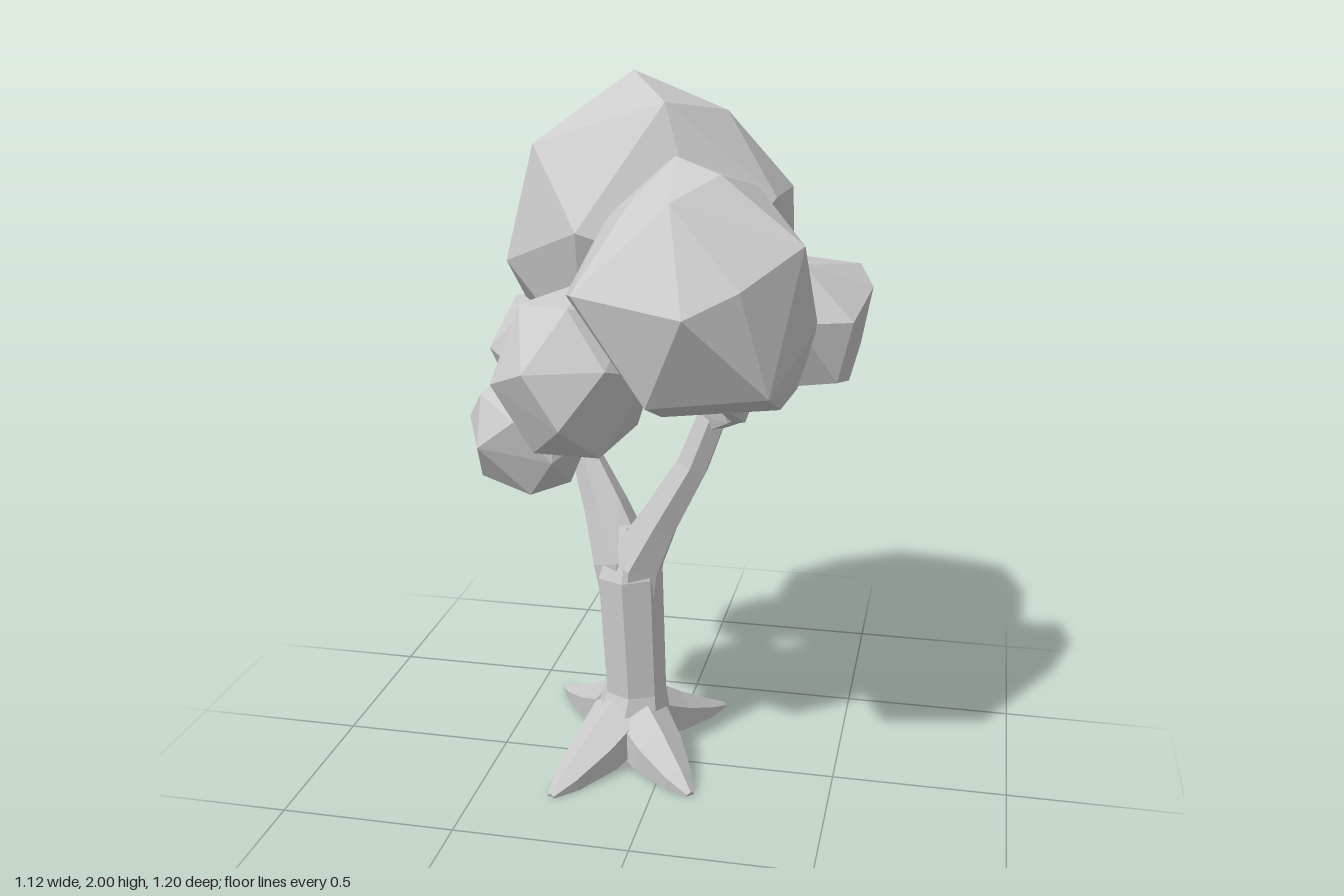
import * as THREE from 'three';
import { ConvexGeometry } from 'three/addons/geometries/ConvexGeometry.js';

const mat = new THREE.MeshStandardMaterial({ color: 0xcccccc, flatShading: true });
const V = (a) => new THREE.Vector3(a[0], a[1], a[2]);

// Faceted limb through sections [x, y, z, radius]; ref fixes the ring orientation
function limb(name, sections, sides, ref) {
  const rings = sections.map((s, i) => {
    const t = V(sections[Math.min(i + 1, sections.length - 1)]).sub(V(sections[Math.max(i - 1, 0)])).normalize();
    const u = V(ref).addScaledVector(t, -V(ref).dot(t)).normalize();
    const w = t.clone().cross(u);
    return Array.from({ length: sides }, (_, j) => {
      const a = (j / sides) * Math.PI * 2;
      const p = V(s).addScaledVector(u, Math.cos(a) * s[3]).addScaledVector(w, Math.sin(a) * s[3]);
      p.y = Math.max(p.y, 0);
      return p;
    });
  });
  const pts = [];
  const last = rings.length - 1;
  for (let j = 0; j < sides; j++) {
    const k = (j + 1) % sides;
    for (let i = 0; i < last; i++) {
      const a = rings[i][j], b = rings[i][k], c = rings[i + 1][k], d = rings[i + 1][j];
      pts.push(a, b, c, a, c, d);
    }
    if (j > 0 && j < sides - 1) {
      pts.push(rings[0][0], rings[0][k], rings[0][j]);
      pts.push(rings[last][0], rings[last][j], rings[last][k]);
    }
  }
  const geo = new THREE.BufferGeometry().setFromPoints(pts);
  geo.computeVertexNormals();
  const mesh = new THREE.Mesh(geo, mat);
  mesh.name = name;
  return mesh;
}

// Leaf clump: convex hull of a few corner points
function clump(name, points) {
  const mesh = new THREE.Mesh(new ConvexGeometry(points), mat);
  mesh.name = name;
  return mesh;
}

// Evenly spread points on a ball, turned and fitted to centre and half sizes
function ballPoints(count, centre, half, turn) {
  const pts = [];
  for (let i = 0; i < count; i++) {
    const y = 1 - (2 * i + 1) / count, r = Math.sqrt(1 - y * y), a = i * 2.39996;
    pts.push(new THREE.Vector3(r * Math.cos(a), y, r * Math.sin(a)).applyEuler(new THREE.Euler(turn, turn * 1.7, 0.4)));
  }
  const box = new THREE.Box3().setFromPoints(pts);
  const mid = box.getCenter(new THREE.Vector3()), size = box.getSize(new THREE.Vector3());
  return pts.map((p) => p.sub(mid).divide(size).multiplyScalar(2).multiply(V(half)).add(V(centre)));
}

export function createModel() {
  const tree = new THREE.Group();
  tree.name = 'tree';

  // Trunk, flared at the foot and closing inside the fork
  tree.add(limb('trunk', [
    [-0.12, 0, -0.05, 0.12], [-0.12, 0.1, -0.05, 0.125], [-0.105, 0.21, -0.05, 0.092],
    [-0.12, 0.58, -0.045, 0.098], [-0.12, 0.73, -0.05, 0.04],
  ], 7, [0, 0, 1]));

  // Spreading roots: tip x, tip z, thickness
  const roots = [[-0.28, 0.28, 0.06], [0.11, 0.19, 0.065], [0.11, -0.37, 0.05], [-0.41, -0.38, 0.05]];
  for (const [x, z, r] of roots) {
    const at = (f, y, rad) => [-0.12 + (x + 0.12) * f, y, -0.05 + (z + 0.05) * f, rad];
    tree.add(limb('root', [at(0.1, 0.11, 0.1), at(0.45, 0.055, r + 0.02), at(0.8, 0.015, r * 0.75), at(1, 0, 0.014)], 6, [0, 1, 0]));
  }

  // Branches, growing out of the trunk
  tree.add(limb('rightBranch', [
    [-0.12, 0.45, -0.05, 0.075], [-0.14, 0.62, -0.06, 0.092], [-0.2, 0.77, -0.09, 0.066],
    [-0.27, 0.92, -0.125, 0.042], [-0.34, 1.15, -0.13, 0.028],
  ], 6, [0, 0, 1]));
  tree.add(limb('leftBranch', [
    [-0.115, 0.45, -0.045, 0.075], [-0.1, 0.62, -0.04, 0.088], [-0.03, 0.75, -0.03, 0.064],
    [0.07, 0.93, -0.03, 0.05], [0.13, 1.09, -0.03, 0.045], [0.17, 1.28, -0.05, 0.03],
  ], 6, [0, 0, 1]));
  tree.add(limb('frontTwig', [
    [0.12, 1.07, -0.04, 0.045], [0.2, 1.12, 0.05, 0.038], [0.23, 1.15, 0.16, 0.03], [0.21, 1.22, 0.31, 0.02],
  ], 5, [0, 1, 0]));

  // Main crown
  tree.add(clump('mainCrown', [
    [-0.14, 2, -0.23], [0, 1.94, 0.02], [0.13, 1.9, -0.2], [-0.02, 1.91, -0.42],
    [-0.37, 1.82, -0.01], [-0.41, 1.68, -0.48], [-0.19, 1.7, -0.6], [0.07, 1.65, -0.6],
    [0.2, 1.74, -0.49], [0.3, 1.68, -0.32], [0.29, 1.69, -0.05], [-0.53, 1.58, -0.38],
    [-0.45, 1.5, 0], [-0.2, 1.62, 0.2], [0.15, 1.5, 0.15], [0.07, 1.39, -0.6],
    [-0.3, 1.36, -0.53], [-0.46, 1.34, -0.22], [0.31, 1.35, -0.32], [0.27, 1.32, -0.08],
    [-0.22, 1.26, 0.08], [-0.04, 1.13, -0.15], [0.2, 1.3, -0.48], [-0.2, 1.24, -0.4],
  ].map(V)));

  // Front crown
  tree.add(clump('frontCrown', [
    [0.16, 1.5, 0.6], [0.09, 1.74, 0.4], [0.19, 1.79, 0.25], [-0.03, 1.72, 0.32],
    [0.04, 1.81, 0.08], [0.41, 1.63, 0.3], [0.28, 1.55, 0.5], [0.35, 1.28, 0.46],
    [-0.14, 1.52, 0.48], [0.05, 1.25, 0.5], [-0.2, 1.48, 0.3], [0.43, 1.39, 0.14],
    [0.38, 1.22, 0.14], [0.05, 1.17, 0.3], [0.35, 1.19, 0.24], [-0.08, 1.24, 0.2],
    [-0.13, 1.66, 0.12], [0.25, 1.73, 0.02], [0.29, 1.3, 0], [0.04, 1.25, 0.04],
  ].map(V)));

  // Left clump
  tree.add(clump('leftClump', [
    [0.38, 1.54, 0.08], [0.34, 1.52, -0.14], [0.51, 1.5, -0.16], [0.555, 1.46, -0.05],
    [0.52, 1.4, 0.12], [0.38, 1.4, 0.17], [0.34, 1.38, -0.2], [0.5, 1.2, -0.04],
    [0.52, 1.28, -0.14], [0.48, 1.23, 0.1], [0.3, 1.19, 0.04], [0.3, 1.23, -0.12],
    [0.21, 1.37, -0.02], [0.25, 1.4, 0.12],
  ].map(V)));

  // Small clumps
  const small = [
    ['lowClump', [-0.375, 1.04, 0.065], [0.18, 0.18, 0.17], 1.1],
    ['middleClump', [-0.19, 1.26, 0.23], [0.21, 0.22, 0.22], 2.0],
    ['backClump', [-0.37, 1.21, -0.2], [0.19, 0.16, 0.175], 2.7],
  ];
  for (const [name, centre, half, turn] of small) tree.add(clump(name, ballPoints(18, centre, half, turn)));

  return tree;
}
